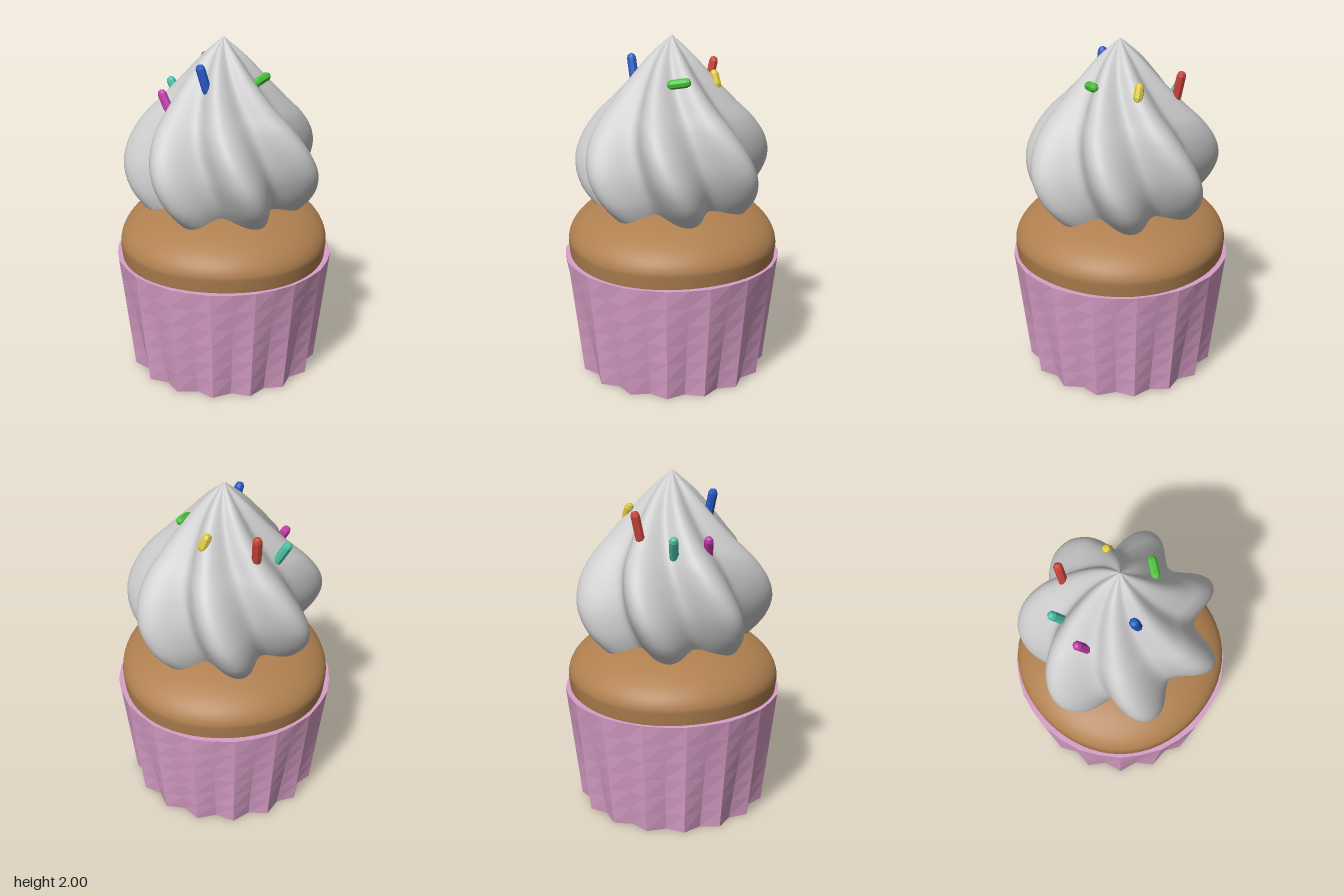
import * as THREE from 'three';

const V = (x, y, z) => new THREE.Vector3(x, y, z);

function part(name, geometry, color, flatShading = false) {
  const mesh = new THREE.Mesh(geometry, new THREE.MeshStandardMaterial({ color, flatShading }));
  mesh.name = name;
  return mesh;
}

// Paper cup: deep pleats at the foot that flatten out into a round rim
function cupGeometry() {
  const pleats = 16, height = 0.705;
  const geo = new THREE.CylinderGeometry(1, 1, height, pleats * 2, 6);
  geo.translate(0, height / 2, 0);
  const p = geo.attributes.position;
  for (let i = 0; i < p.count; i++) {
    const x = p.getX(i), z = p.getZ(i);
    if (Math.hypot(x, z) < 0.5) continue;
    const step = Math.round(Math.atan2(x, z) / (Math.PI / pleats));
    const valley = Math.abs(step) % 2 === 1;
    const r = THREE.MathUtils.lerp(valley ? 0.51 : 0.56, valley ? 0.636 : 0.64, p.getY(i) / height);
    p.setX(i, x * r);
    p.setZ(i, z * r);
  }
  return geo;
}

// Sponge: short wall curving into a dome, slightly fuller on the diagonals
function spongeGeometry() {
  const profile = [new THREE.Vector2(0.985, 0.69)];
  for (let i = 0; i <= 24; i++) {
    const a = (i / 24) * Math.PI / 2;
    profile.push(new THREE.Vector2(i === 24 ? 0 : Math.cos(a), 0.78 + 0.33 * Math.sin(a)));
  }
  const geo = new THREE.LatheGeometry(profile, 64);
  const p = geo.attributes.position;
  for (let i = 0; i < p.count; i++) {
    const r = 0.618 - 0.007 * Math.cos(4 * Math.atan2(p.getX(i), p.getZ(i)));
    p.setX(i, p.getX(i) * r);
    p.setZ(i, p.getZ(i) * r);
  }
  return geo;
}

// Frosting: seven lobes swept up a teardrop profile with a steady twist
function frostingGeometry() {
  const lobes = 7, around = 168, rows = 56;
  const profile = new THREE.CatmullRomCurve3([
    V(0.40, 0.96, 0), V(0.47, 1.02, 0), V(0.55, 1.13, 0), V(0.583, 1.26, 0), V(0.555, 1.39, 0),
    V(0.475, 1.52, 0), V(0.37, 1.63, 0), V(0.25, 1.76, 0), V(0.13, 1.89, 0), V(0.004, 2, 0),
  ]);
  const positions = [], indices = [];
  for (let j = 0; j <= rows; j++) {
    const { x: radius, y } = profile.getPoint(j / rows);
    const phase = THREE.MathUtils.degToRad(-70 - 47 * (y - 1.26));
    const depth = 0.14 - 0.04 * Math.max(0, (y - 1.4) / 0.6);
    for (let i = 0; i < around; i++) {
      const a = (i / around) * Math.PI * 2;
      const r = radius * (1 - depth + depth * Math.cos(lobes * (a - phase)));
      positions.push(r * Math.cos(a), y, -r * Math.sin(a));
      if (j === rows) continue;
      const n = (i + 1) % around;
      const p = j * around + i, q = j * around + n;
      indices.push(p, q, q + around, p, q + around, p + around);
    }
  }
  const geo = new THREE.BufferGeometry();
  geo.setAttribute('position', new THREE.Float32BufferAttribute(positions, 3));
  geo.setIndex(indices);
  geo.computeVertexNormals();
  return geo;
}

// Sprinkle: low-poly capsule between two points
function sprinkle(name, color, a, b) {
  const mesh = part(name, new THREE.CapsuleGeometry(0.027, a.distanceTo(b), 2, 8), color, true);
  mesh.position.copy(a).lerp(b, 0.5);
  mesh.quaternion.setFromUnitVectors(V(0, 1, 0), b.clone().sub(a).normalize());
  return mesh;
}

export function createModel() {
  const model = new THREE.Group();
  model.name = 'cupcake';
  model.add(part('paperCup', cupGeometry(), 0xd99fc8, true));
  model.add(part('sponge', spongeGeometry(), 0xb08050));
  model.add(part('frosting', frostingGeometry(), 0xcccccc));

  const sprinkles = new THREE.Group();
  sprinkles.name = 'sprinkles';
  sprinkles.add(
    sprinkle('blueSprinkle', 0x2a5cc8, V(-0.07, 1.74, 0.2), V(-0.105, 1.865, 0.205)),
    sprinkle('pinkSprinkle', 0xc43caa, V(-0.305, 1.57, 0.055), V(-0.35, 1.665, 0.03)),
    sprinkle('tealSprinkle', 0x4cc4a8, V(-0.28, 1.58, -0.148), V(-0.33, 1.685, -0.18)),
    sprinkle('greenSprinkle', 0x4cc23c, V(0.195, 1.76, 0.072), V(0.24, 1.775, 0)),
    sprinkle('redSprinkle', 0xcc463c, V(-0.145, 1.67, -0.285), V(-0.145, 1.805, -0.315)),
    sprinkle('yellowSprinkle', 0xdcc840, V(0.138, 1.73, -0.222), V(0.115, 1.785, -0.215)),
  );
  model.add(sprinkles);
  return model;
}
